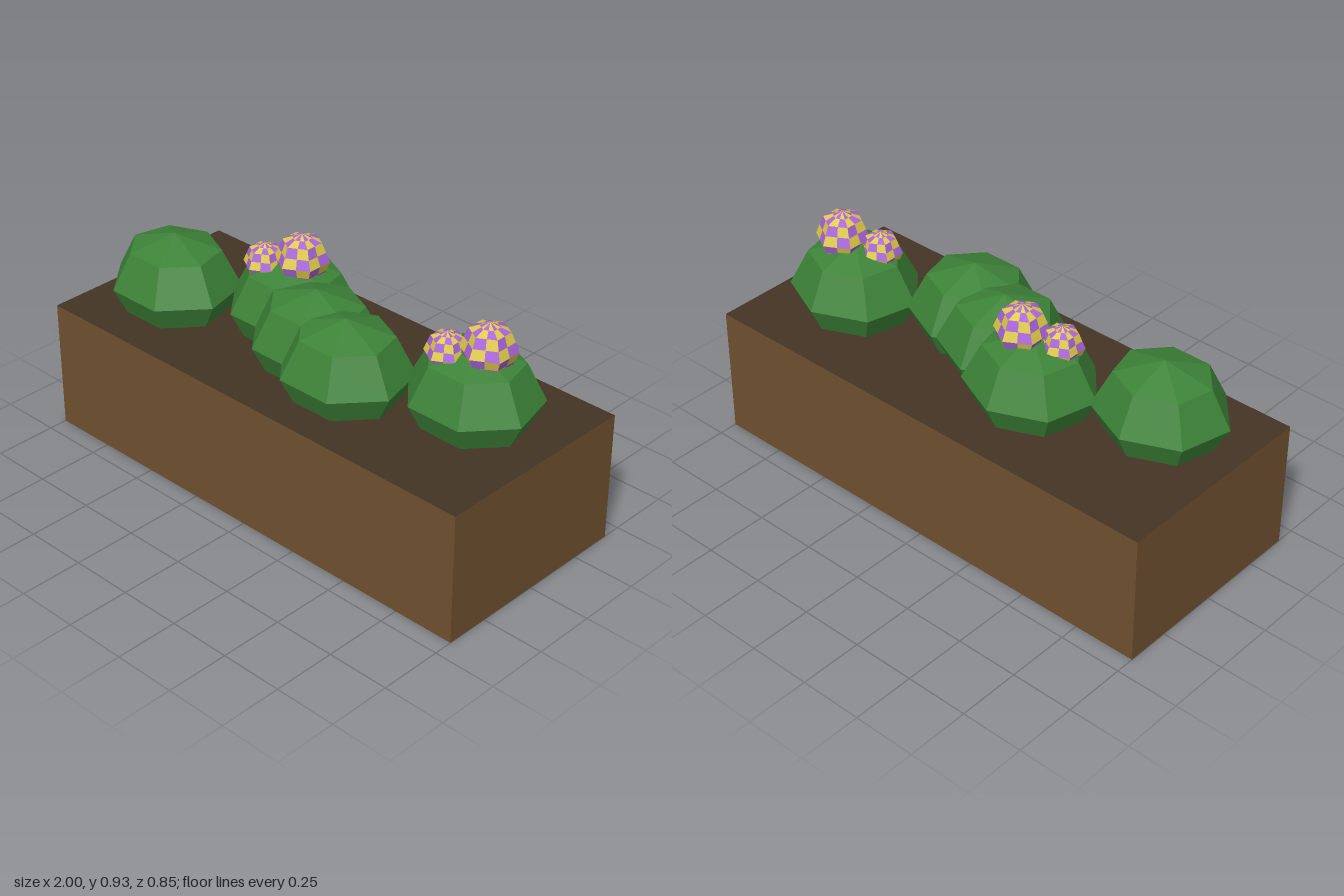
import * as THREE from 'three';

const material = (name, color) => {
  const m = new THREE.MeshStandardMaterial({ color });
  m.name = name;
  return m;
};

// Faceted sphere with one normal per face and a corner towards -z
function bushGeometry() {
  const g = new THREE.SphereGeometry(1, 7, 4).rotateY(-Math.PI / 2).scale(0.262, 0.205, 0.239).toNonIndexed();
  g.computeVertexNormals();
  return g;
}

// Six-sided faceted ball; every facet is split 2 x 2 into a two-colour check
function blossomGeometry() {
  const sides = 6, rings = 4;
  const corner = (i, j) => {
    const t = (i / rings) * Math.PI, a = (j / sides) * Math.PI * 2;
    return new THREE.Vector3(Math.sin(t) * Math.sin(a), Math.cos(t), Math.sin(t) * Math.cos(a));
  };
  // Point on the flat facets, at half steps between the corners
  const point = (r, c) => {
    const i0 = Math.floor(r / 2), i1 = Math.ceil(r / 2);
    const j0 = Math.floor(c / 2), j1 = Math.ceil(c / 2);
    const upper = corner(i0, j0).lerp(corner(i0, j1), 0.5);
    const lower = corner(i1, j0).lerp(corner(i1, j1), 0.5);
    return upper.lerp(lower, 0.5);
  };
  const cells = [[], []];
  for (let r = 0; r < rings * 2; r++) {
    for (let c = 0; c < sides * 2; c++) {
      const a = point(r, c), b = point(r + 1, c), d = point(r + 1, c + 1), e = point(r, c + 1);
      const out = cells[(r + c) % 2];
      if (r < rings * 2 - 1) out.push(a, b, d);
      else out.push(a, b, e);
      if (r > 0 && r < rings * 2 - 1) out.push(a, d, e);
    }
  }
  const g = new THREE.BufferGeometry().setFromPoints([...cells[0], ...cells[1]]);
  g.addGroup(0, cells[0].length, 0);
  g.addGroup(cells[0].length, cells[1].length, 1);
  g.computeVertexNormals();
  return g;
}

export function createModel() {
  const wood = material('wood brown', 0x70502f);
  const soil = material('dark soil', 0x443424);
  const leaf = material('leaf green', 0x3d8338);
  const purple = material('petal purple', 0xa863dc);
  const yellow = material('petal yellow', 0xdfca48);

  const model = new THREE.Group();
  model.name = 'planter';

  // Planter box
  const box = new THREE.Mesh(new THREE.BoxGeometry(2, 0.52, 0.85), [wood, wood, soil, soil, wood, wood]);
  box.name = 'planterBox';
  box.position.y = 0.26;
  model.add(box);

  // Row of bushes
  const bushShape = bushGeometry();
  [[-0.68, 0.1], [-0.235, -0.08], [0, 0.04], [0.22, 0.12], [0.66, -0.06]].forEach(([x, z], i) => {
    const bush = new THREE.Mesh(bushShape, leaf);
    bush.name = `bush${i + 1}`;
    bush.position.set(x, 0.62, z);
    model.add(bush);
  });

  // Blossom pairs on two of the bushes
  const blossomShape = blossomGeometry();
  [
    [-0.193, 0.825, -0.085, 0.105],
    [-0.325, 0.785, -0.025, 0.083],
    [0.712, 0.825, -0.068, 0.105],
    [0.578, 0.785, -0.005, 0.083],
  ].forEach(([x, y, z, r], i) => {
    const blossom = new THREE.Mesh(blossomShape, [purple, yellow]);
    blossom.name = `blossom${i + 1}`;
    blossom.position.set(x, y, z);
    blossom.scale.setScalar(r);
    model.add(blossom);
  });

  return model;
}
